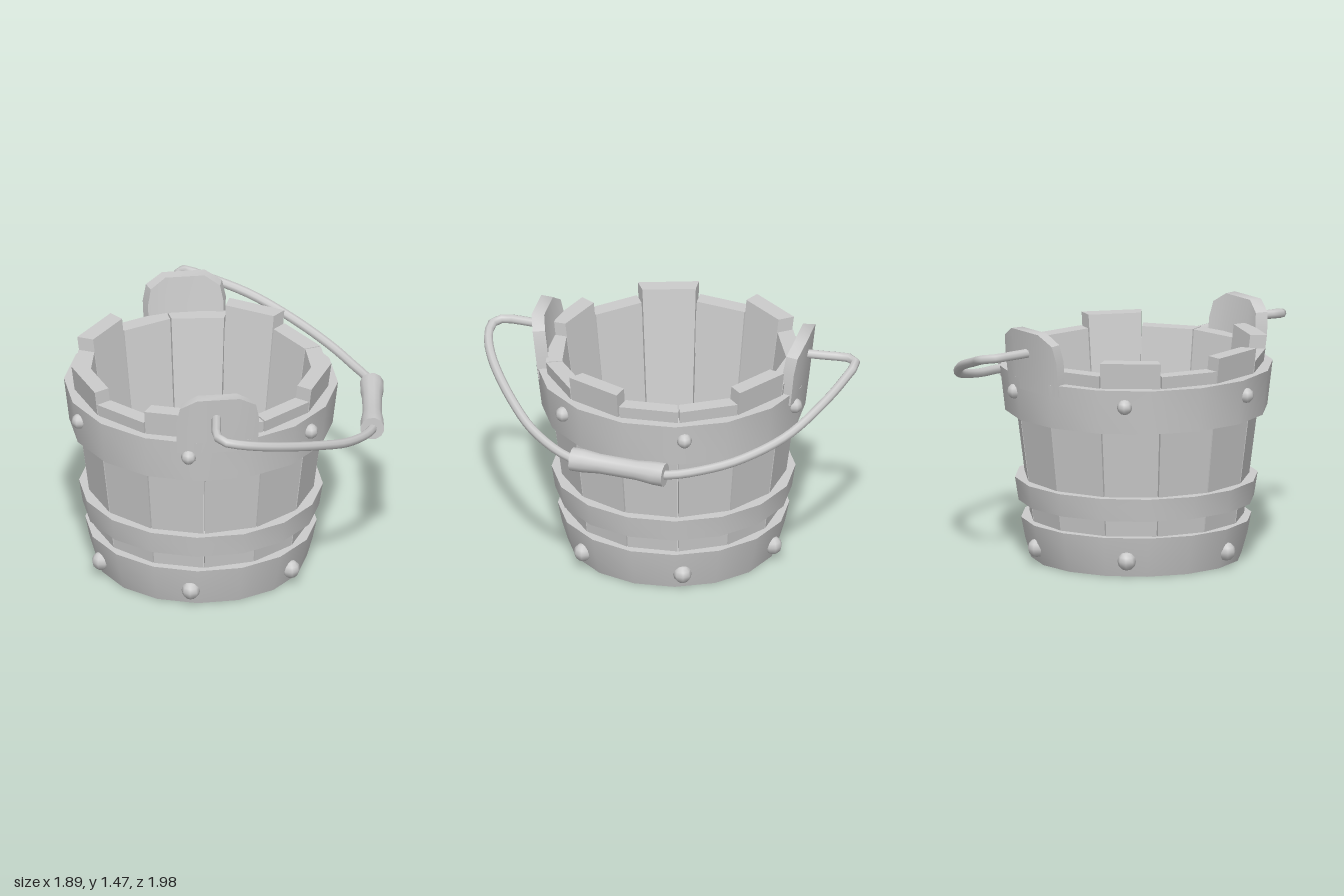
import * as THREE from 'three';
import { toCreasedNormals } from 'three/addons/utils/BufferGeometryUtils.js';

const rad = THREE.MathUtils.degToRad;
const material = new THREE.MeshStandardMaterial({ color: 0xcccccc });

function add(parent, name, geometry) {
  const mesh = new THREE.Mesh(geometry, material);
  mesh.name = name;
  parent.add(mesh);
  return mesh;
}

// Moves every vertex of a geometry by a rule
function reshape(geometry, rule) {
  const pos = geometry.attributes.position;
  const v = new THREE.Vector3();
  for (let i = 0; i < pos.count; i++) {
    v.fromBufferAttribute(pos, i);
    rule(v);
    pos.setXYZ(i, v.x, v.y, v.z);
  }
  return toCreasedNormals(geometry, 0.6);
}

// Point on a circle around the bucket axis, phi = 0 faces the front
const polar = (v, phi, r, y) => v.set(Math.sin(phi) * r, y, Math.cos(phi) * r);

function lathe(points, sides) {
  const profile = points.map(([r, y]) => new THREE.Vector2(r, y));
  return toCreasedNormals(new THREE.LatheGeometry(profile, sides), 0.6);
}

// Tapered plank between two seams
function staveGeometry(phi, half, top) {
  return reshape(new THREE.BoxGeometry(1, 1, 1), (v) => {
    const y = v.y > 0 ? top : 0.02;
    const r = 0.612 + 0.128 * y - (v.z > 0 ? 0 : 0.1);
    polar(v, phi + Math.sign(v.x) * half, r, y);
  });
}

// Curved lug rising from the upper hoop
function earGeometry(phi) {
  const spread = [-1, -0.9, -0.5, 0.5, 0.9, 1];
  const heights = [1.31, 1.41, 1.47, 1.47, 1.41, 1.31];
  return reshape(new THREE.BoxGeometry(5, 1, 1, 5, 1, 1), (v) => {
    const i = Math.round(v.x + 2.5);
    const y = v.y > 0 ? heights[i] : 1.1;
    const r = 0.815 + 0.11 * (y - 1.17) - (v.z > 0 ? 0 : 0.075);
    polar(v, phi + spread[i] * rad(17.5), r, y);
  });
}

export function createModel() {
  const model = new THREE.Group();
  model.name = 'bucket';

  const body = new THREE.Group();
  body.name = 'body';
  body.position.set(-0.14, 0, -0.075);
  model.add(body);

  // Staves with uneven tops
  const count = 13;
  const step = (Math.PI * 2) / count;
  const tall = [2, 5, 8, 10, 12];
  for (let k = 0; k < count; k++) {
    const top = tall.includes(k) ? 1.325 : 1.245;
    add(body, 'stave', staveGeometry(Math.PI - step * (k + 0.5), step / 2 - 0.006, top));
  }

  // Floor
  const floor = add(body, 'floor', toCreasedNormals(new THREE.CylinderGeometry(0.56, 0.56, 0.14, 26), 0.6));
  floor.position.y = 0.08;

  // Hoops
  add(body, 'lowerHoop', lathe([[0, 0], [0.63, 0], [0.665, 0.12], [0.69, 0.245], [0.59, 0.245]], 16));
  add(body, 'middleHoop', lathe([[0.62, 0.36], [0.705, 0.35], [0.727, 0.49], [0.63, 0.49], [0.62, 0.36]], 16));
  add(body, 'upperHoop', lathe([[0.67, 0.905], [0.785, 0.9], [0.817, 1.17], [0.7, 1.17], [0.67, 0.905]], 16));

  // Lugs for the handle
  for (const phi of [-36, 144]) add(body, 'ear', earGeometry(rad(phi)));

  // Rivets on the upper and lower hoops
  for (const [y, r, size] of [[1.07, 0.8, 0.046], [0.1, 0.655, 0.056]]) {
    for (let i = 0; i < 6; i++) {
      const rivet = add(body, 'rivet', new THREE.SphereGeometry(size, 8, 6));
      const phi = rad(11.5 + i * 60);
      polar(rivet.position, phi, r, y);
      rivet.rotation.y = phi;
    }
  }

  // Handle rod, from the front lug around to the back lug
  const path = [
    [-0.61, 1.34, 0.56], [-0.7, 1.34, 0.655], [-0.785, 1.335, 0.755], [-0.785, 1.325, 0.815],
    [-0.7, 1.3, 0.885], [-0.5, 1.24, 0.945], [-0.13, 1.125, 0.965], [0.13, 1.045, 0.935],
    [0.42, 0.985, 0.82], [0.62, 0.975, 0.605], [0.82, 0.98, 0.39], [0.885, 1.0, 0.14],
    [0.908, 1.035, -0.07], [0.88, 1.11, -0.365], [0.78, 1.21, -0.63], [0.635, 1.29, -0.86],
    [0.55, 1.33, -0.96], [0.49, 1.335, -0.945], [0.42, 1.335, -0.85], [0.33, 1.335, -0.72],
  ].map((p) => new THREE.Vector3(...p));
  const curve = new THREE.CatmullRomCurve3(path, false, 'centripetal');
  const handle = new THREE.Group();
  handle.name = 'handle';
  model.add(handle);
  add(handle, 'handleRod', new THREE.TubeGeometry(curve, 60, 0.028, 8, false));

  // Waisted wooden grip
  const from = path[8];
  const to = path[10];
  const half = from.distanceTo(to) / 2;
  const grip = add(handle, 'grip', lathe([
    [0, -half], [0.072, -half], [0.071, -half * 0.75], [0.06, -half * 0.4], [0.06, half * 0.4],
    [0.071, half * 0.75], [0.072, half], [0, half],
  ], 12));
  grip.position.addVectors(from, to).multiplyScalar(0.5);
  grip.quaternion.setFromUnitVectors(new THREE.Vector3(0, 1, 0), to.clone().sub(from).normalize());

  return model;
}
